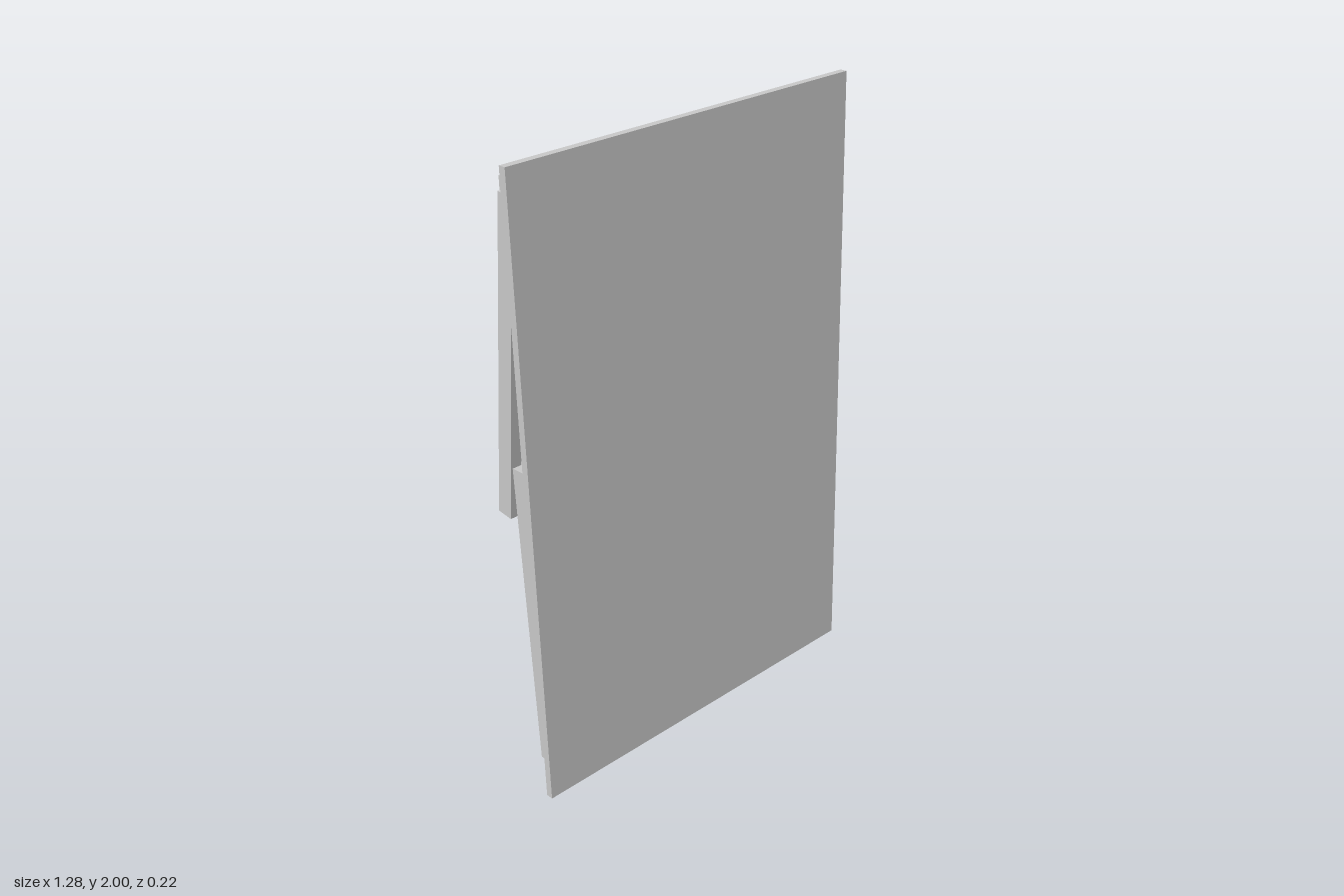
import * as THREE from 'three';

const material = new THREE.MeshStandardMaterial({ color: 0xcccccc, flatShading: true });

// Straight board whose centre line runs from (y0, z0) to (y1, z1) at a given x
function board(name, width, depth, x, [y0, z0], [y1, z1]) {
  const length = Math.hypot(y1 - y0, z1 - z0);
  const mesh = new THREE.Mesh(new THREE.BoxGeometry(width, length, depth), material);
  mesh.position.set(x, (y0 + y1) / 2, (z0 + z1) / 2);
  mesh.rotation.x = Math.atan2(z1 - z0, y1 - y0);
  mesh.name = name;
  return mesh;
}

export function createModel() {
  const model = new THREE.Group();
  model.name = 'leaningPanel';

  // Front sheet, leaning slightly back
  model.add(board('panel', 1.28, 0.024, 0, [0, 0.099], [2, 0.035]));

  // Centre line of the frame behind the sheet at a given height
  const frameAt = (y) => [y, 0.06 - 0.0325 * y];
  const frame = new THREE.Group();
  frame.name = 'frame';
  frame.add(
    board('topRail', 1.148, 0.053, 0, frameAt(1.847), frameAt(1.91)),
    board('bottomRail', 1.148, 0.053, 0, frameAt(0.102), frameAt(0.165)),
    board('leftStile', 0.063, 0.052, 0.542, frameAt(0.11), frameAt(1.905)),
  );
  model.add(frame);

  // Right upright sits proud of the rails
  model.add(board('rightStile', 0.063, 0.05, -0.541, [0.152, 0.005], [1.935, -0.047]));

  // Pair of side struts on each edge: upper swings out, lower leans in
  for (const [side, sign] of [['left', 1], ['right', -1]]) {
    const x = sign * 0.592;
    model.add(
      board(side + 'UpperStrut', 0.037, 0.055, x, [0.92, -0.083], [1.91, -0.001]),
      board(side + 'LowerStrut', 0.036, 0.055, x, [0.1, 0.058], [1.095, -0.006]),
    );
  }
  return model;
}
